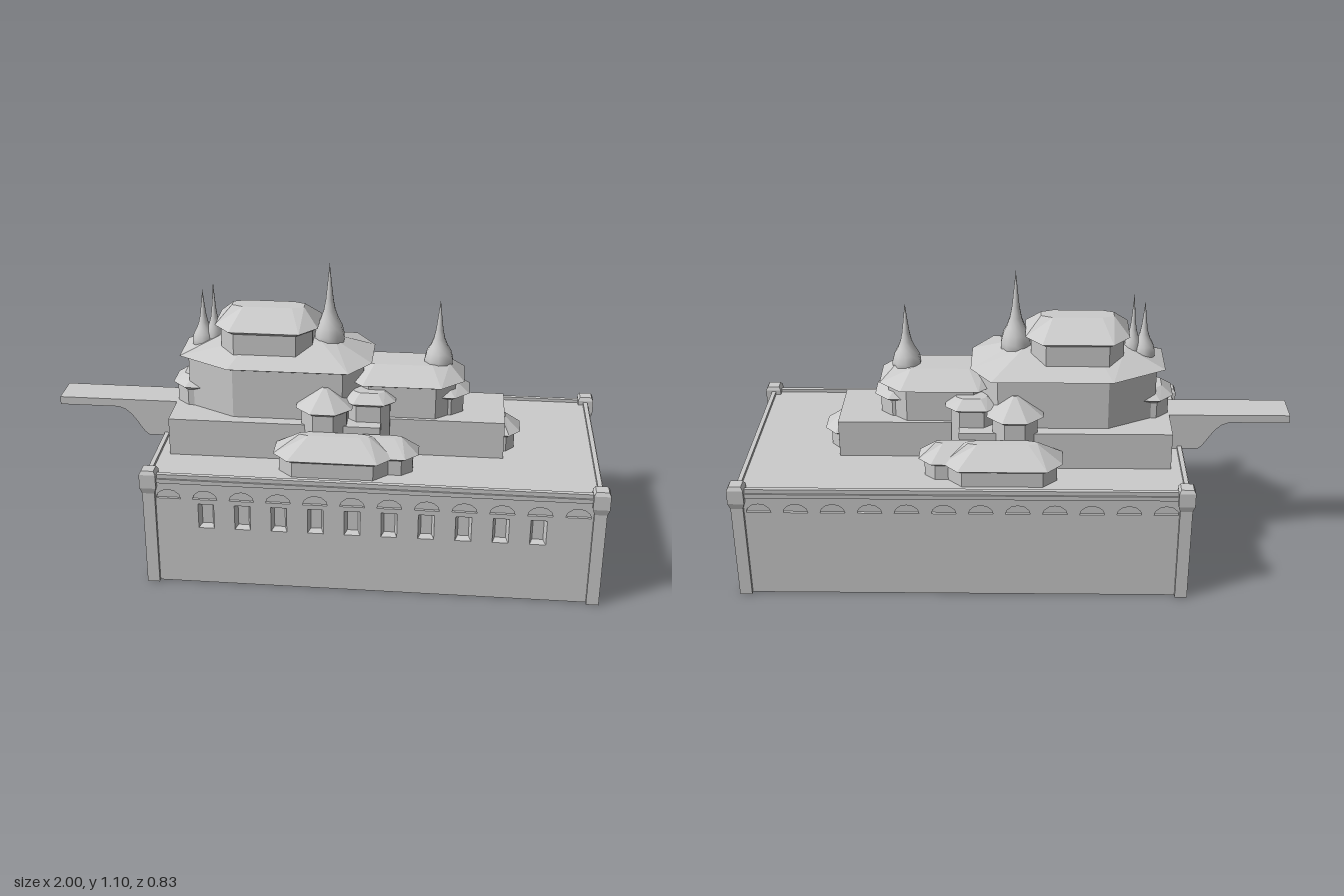
import * as THREE from 'three';

const flat = new THREE.MeshStandardMaterial({ color: 0xcccccc, flatShading: true, side: THREE.DoubleSide });
const smooth = new THREE.MeshStandardMaterial({ color: 0xcccccc, side: THREE.DoubleSide });

function add(parent, name, geometry, x = 0, y = 0, z = 0, material = flat) {
  const mesh = new THREE.Mesh(geometry, material);
  mesh.name = name;
  mesh.position.set(x, y, z);
  parent.add(mesh);
  return mesh;
}

// Box given by its limits
function block(parent, name, x0, x1, y0, y1, z0, z1) {
  return add(parent, name, new THREE.BoxGeometry(x1 - x0, y1 - y0, z1 - z0),
    (x0 + x1) / 2, (y0 + y1) / 2, (z0 + z1) / 2);
}

// Rectangle with cut corners, running counterclockwise seen from above
function plan(x0, x1, z0, z1, cutL, cutR, cz) {
  return [[x0 + cutL, z1], [x1 - cutR, z1], [x1, z1 - cz], [x1, z0 + cz],
    [x1 - cutR, z0], [x0 + cutL, z0], [x0, z0 + cz], [x0, z1 - cz]];
}

// Plain rectangle from half sizes
const rect = (hx, hz) => [[-hx, hz], [hx, hz], [hx, -hz], [-hx, -hz]];

// Pulls the outline in by dx and dz
function inset(points, dx, dz = dx) {
  const b = new THREE.Box2().setFromPoints(points.map(p => new THREE.Vector2(...p)));
  const c = b.getCenter(new THREE.Vector2()), h = b.getSize(new THREE.Vector2()).multiplyScalar(0.5);
  return points.map(([x, z]) => [
    c.x + (x - c.x) * Math.max(0, h.x - dx) / h.x,
    c.y + (z - c.y) * Math.max(0, h.y - dz) / h.y]);
}

// Skin over rings of [outline, height], closed on top
function loft(rings) {
  const pos = [], n = rings[0][0].length;
  const v = (r, j) => [rings[r][0][j % n][0], rings[r][1], rings[r][0][j % n][1]];
  for (let r = 0; r < rings.length - 1; r++) {
    for (let j = 0; j < n; j++) {
      const a = v(r, j), b = v(r, j + 1), c = v(r + 1, j + 1), d = v(r + 1, j);
      pos.push(...a, ...b, ...c, ...a, ...c, ...d);
    }
  }
  const t = rings.length - 1, mid = [0, rings[t][1], 0];
  for (const p of rings[t][0]) { mid[0] += p[0] / n; mid[2] += p[1] / n; }
  for (let j = 0; j < n; j++) pos.push(...mid, ...v(t, j), ...v(t, j + 1));
  const g = new THREE.BufferGeometry();
  g.setAttribute('position', new THREE.Float32BufferAttribute(pos, 3));
  g.computeVertexNormals();
  return g;
}

// Walls plus an overhanging hipped roof; the outline is that of the eaves
function house(parent, name, eaves, y0, yEave, yTop, dx, dz = dx, overhang = 0.02) {
  const g = new THREE.Group();
  g.name = name;
  const body = inset(eaves, overhang);
  add(g, 'houseWalls', loft([[body, y0], [body, yEave - 0.012]]));
  add(g, 'houseRoof', loft([[body, yEave - 0.014], [eaves, yEave], [inset(eaves, dx, dz), yTop]]));
  parent.add(g);
}

// Bell-shaped base drawn out to a needle
function spire(parent, name, x, z, y0, y1, r) {
  const h = y1 - y0;
  const profile = [[0.85, 0], [1, 0.07], [1, 0.15], [0.86, 0.25], [0.6, 0.34], [0.4, 0.44], [0.26, 0.57], [0.13, 0.78], [0, 1]]
    .map(([a, b]) => new THREE.Vector2(a * r, b * h));
  add(parent, name, new THREE.LatheGeometry(profile, 10), x, y0, z, smooth);
}

// Band with a row of arches cut out of its lower edge
function archBand(length, count) {
  const s = new THREE.Shape(), step = 0.13;
  s.moveTo(-length / 2, 0);
  for (let i = 0; i < count; i++) {
    const c = (i - (count - 1) / 2) * step;
    for (let k = 0; k <= 6; k++) {
      const a = Math.PI * (1 - k / 6);
      s.lineTo(c + 0.044 * Math.cos(a), 0.036 * Math.sin(a));
    }
  }
  s.lineTo(length / 2, 0);
  s.lineTo(length / 2, 0.065);
  s.lineTo(-length / 2, 0.065);
  return new THREE.ExtrudeGeometry(s, { depth: 0.012, bevelEnabled: false });
}

// Front wall panel with ten window holes, and its recessed windows
function windowWall(parent, x0, x1, height, z) {
  const wall = new THREE.Shape([[x0, 0], [x1, 0], [x1, height], [x0, height]].map(p => new THREE.Vector2(...p)));
  const recess = loft([[rect(0.028, 0.0475), 0], [rect(0.019, 0.043), -0.03]]).rotateX(Math.PI / 2);
  for (let i = 0; i < 10; i++) {
    const x = -0.4 + i * 0.1295;
    wall.holes.push(new THREE.Path(rect(0.028, 0.0475).map(([a, b]) => new THREE.Vector2(x + a, 0.2725 + b))));
    add(parent, 'windowRecess', recess, x, 0.2725, z);
  }
  add(parent, 'frontWall', new THREE.ExtrudeGeometry(wall, { depth: 0.01, bevelEnabled: false }), 0, 0, z - 0.01);
}

export function createModel() {
  const model = new THREE.Group();
  model.name = 'fortress';
  const X0 = -0.6, X1 = 0.965, CX = (X0 + X1) / 2, HZ = 0.385, DECK = 0.42, LEDGE = 0.338;

  windowWall(model, X0, X1, LEDGE, HZ + 0.01);
  block(model, 'deck', X0, X1, 0.4, DECK, -HZ, HZ);

  // Walls, arched niches, moulding and rim on each side
  const long = X1 - X0, short = 2 * HZ;
  for (const [turn, length, dist, count] of [[0, long, HZ, 12], [1, short, long / 2, 6], [2, long, HZ, 12], [3, short, long / 2, 6]]) {
    const side = new THREE.Group(), h = length / 2;
    side.name = 'wallSide';
    side.position.x = CX;
    side.rotation.y = turn * Math.PI / 2;
    if (turn > 0) block(side, 'lowerWall', -h, h, 0, LEDGE, dist, dist + 0.01);
    block(side, 'nicheWall', -h, h, LEDGE - 0.004, 0.41, dist - 0.01, dist);
    add(side, 'archFrieze', archBand(length, count), 0, LEDGE, dist);
    block(side, 'moulding', -h, h, 0.4, 0.416, dist - 0.01, dist + 0.017);
    block(side, 'rim', -h, h, 0.416, 0.432, dist - 0.005, dist + 0.011);
    model.add(side);
  }

  // Corner posts with bevelled caps
  for (const x of [-0.6, 0.97]) for (const z of [-0.388, 0.388]) {
    block(model, 'cornerPost', x - 0.022, x + 0.022, 0, 0.37, z - 0.022, z + 0.022);
    add(model, 'postCap', loft([[rect(0.022, 0.022), 0.362], [rect(0.029, 0.029), 0.385],
      [rect(0.029, 0.029), 0.437], [rect(0.022, 0.022), 0.45]]), x, 0, z);
  }

  // Bridge with a curved bracket
  const bridge = new THREE.Shape();
  bridge.moveTo(-1, 0.56);
  bridge.lineTo(-1, 0.53);
  bridge.lineTo(-0.78, 0.53);
  bridge.bezierCurveTo(-0.72, 0.52, -0.7, 0.43, -0.67, DECK);
  bridge.lineTo(-0.55, DECK);
  bridge.lineTo(-0.55, 0.56);
  add(model, 'bridge', new THREE.ExtrudeGeometry(bridge, { depth: 0.126, bevelEnabled: false, curveSegments: 6 }), 0, 0, -0.063);

  // Terraces
  block(model, 'wideTerrace', -0.56, 0.2, DECK, 0.56, -0.213, 0.213);
  block(model, 'narrowTerrace', 0.18, 0.64, DECK, 0.559, -0.13, 0.13);

  // Main hall and upper hall
  house(model, 'mainHall', plan(-0.535, 0.16, -0.2, 0.2, 0.19, 0.075, 0.11), 0.56, 0.755, 0.815, 0.14, 0.15, 0.03);
  house(model, 'upperHall', plan(-0.405, -0.035, -0.147, 0.147, 0.06, 0.06, 0.07), 0.76, 0.875, 0.932, 0.055, 0.112);

  // Stepped towers at both ends
  house(model, 'leftTower', plan(-0.57, -0.3, -0.1, 0.1, 0.05, 0.05, 0.05), 0.56, 0.635, 0.665, 0.04, 0.04, 0.015);
  house(model, 'rightTowerUpper', plan(0.06, 0.49, -0.148, 0.148, 0.07, 0.08, 0.075), 0.56, 0.69, 0.74, 0.055, 0.09, 0.03);
  house(model, 'rightTowerLower', plan(0.2, 0.51, -0.1, 0.1, 0.05, 0.05, 0.05), 0.56, 0.635, 0.665, 0.04);
  house(model, 'endHouse', plan(0.54, 0.7, -0.09, 0.09, 0.04, 0.04, 0.045), DECK, 0.49, 0.535, 0.055);

  // Lower houses mirrored front and back
  for (const s of [-1, 1]) {
    const span = (a, b) => s > 0 ? [a, b] : [-b, -a];
    house(model, 'sideHall', plan(-0.17, 0.255, ...span(0.155, 0.367), 0.055, 0.055, 0.06), DECK, 0.49, 0.55, 0.09, 0.09);
    house(model, 'sideHallWing', plan(0.06, 0.34, ...span(0.155, 0.318), 0.04, 0.045, 0.045), DECK, 0.49, 0.54, 0.06, 0.07);
    house(model, 'sidePavilion', plan(-0.1, 0.1, ...span(0.065, 0.265), 0.055, 0.055, 0.055), DECK, 0.625, 0.69, 0.09);
    house(model, 'rearPavilion', plan(0.06, 0.25, ...span(0.05, 0.19), 0.04, 0.04, 0.04), DECK, 0.635, 0.665, 0.04);
  }

  // Spires
  spire(model, 'mainSpire', 0, 0, 0.78, 1.095, 0.055);
  spire(model, 'rightSpire', 0.395, 0, 0.71, 0.97, 0.053);
  spire(model, 'leftSpire', -0.46, 0, 0.76, 0.98, 0.042);
  spire(model, 'leftRearSpire', -0.42, 0, 0.77, 1.01, 0.032);
  return model;
}
